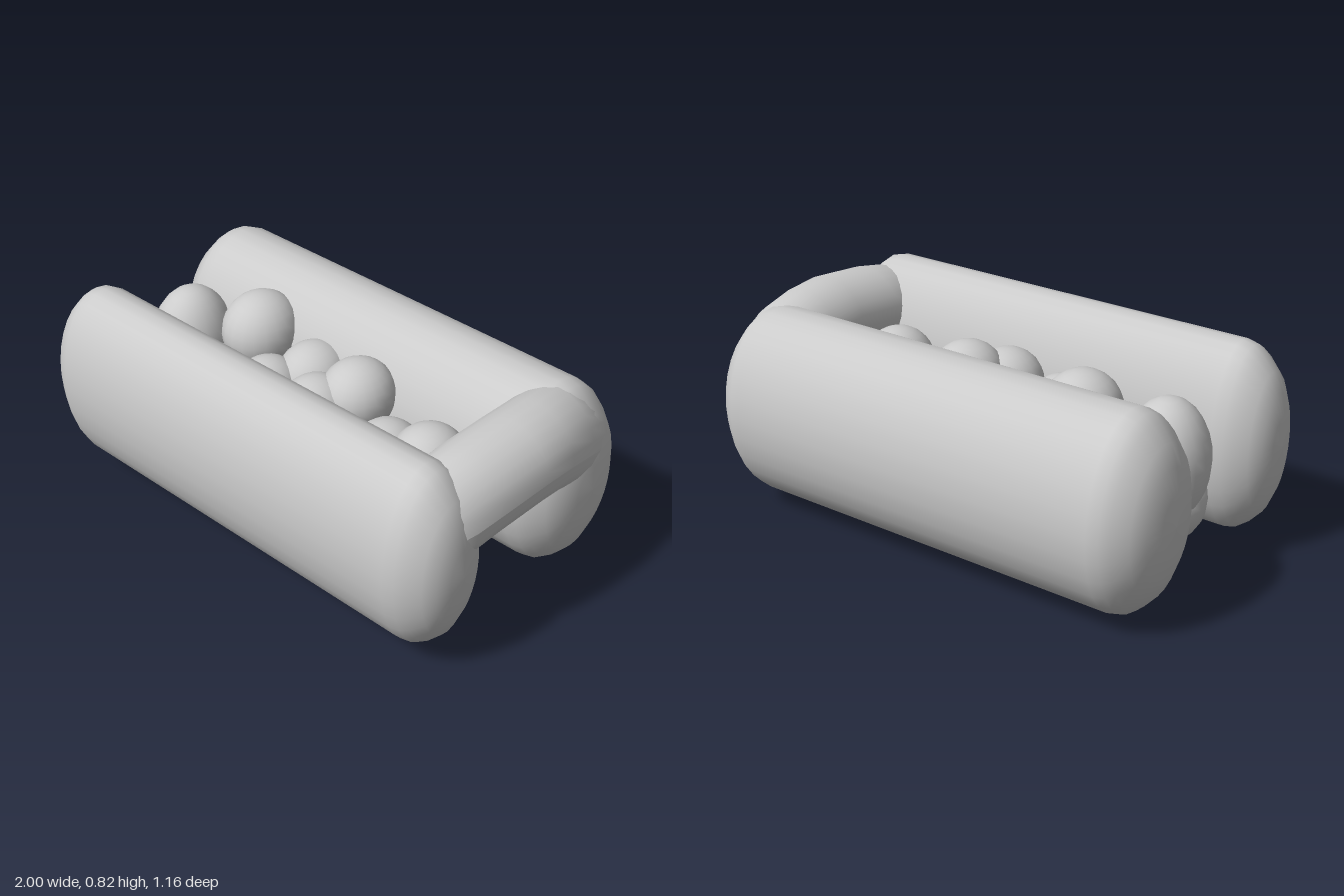
import * as THREE from 'three';

const material = new THREE.MeshStandardMaterial({ color: 0xcccccc });

function add(parent, name, geometry, position = [0, 0, 0], scale = [1, 1, 1]) {
  const mesh = new THREE.Mesh(geometry, material);
  mesh.name = name;
  mesh.position.set(...position);
  mesh.scale.set(...scale);
  parent.add(mesh);
  return mesh;
}

// Long oval log along x with softly rounded ends
function logGeometry(x0, x1) {
  const end = [[0, 0], [0.3, 0.008], [0.55, 0.028], [0.75, 0.06], [0.9, 0.11], [0.97, 0.145], [1, 0.19]];
  const points = [
    ...end.map(([r, d]) => new THREE.Vector2(r, x0 + d)),
    ...end.slice().reverse().map(([r, d]) => new THREE.Vector2(r, x1 - d)),
  ];
  return new THREE.LatheGeometry(points, 28).rotateZ(-Math.PI / 2);
}

// Arched bar across one end: oval rings swept along z, [z, x, y, halfWidth, halfHeight]
function bridgeGeometry() {
  const rings = [
    [0.46, 0.79, 0.55, 0.02, 0.02], [0.42, 0.79, 0.57, 0.13, 0.17], [0.32, 0.795, 0.6, 0.165, 0.185],
    [0.2, 0.81, 0.63, 0.175, 0.175], [0, 0.825, 0.645, 0.175, 0.175], [-0.15, 0.82, 0.63, 0.175, 0.18],
    [-0.3, 0.8, 0.59, 0.175, 0.2], [-0.44, 0.78, 0.53, 0.16, 0.2], [-0.52, 0.77, 0.48, 0.02, 0.02],
  ];
  const n = 24, positions = [], index = [];
  rings.forEach(([z, x, y, w, h], i) => {
    for (let j = 0; j <= n; j++) {
      const a = (j / n) * Math.PI * 2;
      positions.push(x + w * Math.cos(a), y + h * Math.sin(a), z);
      if (i && j < n) {
        const c = i * (n + 1) + j, p = c - n - 1;
        index.push(p, c, p + 1, p + 1, c, c + 1);
      }
    }
  });
  const geometry = new THREE.BufferGeometry();
  geometry.setAttribute('position', new THREE.Float32BufferAttribute(positions, 3));
  geometry.setIndex(index);
  // Outward winding for rings running towards -z
  for (let k = 0; k < index.length; k += 3) {
    const t = geometry.index.getX(k + 1);
    geometry.index.setX(k + 1, geometry.index.getX(k + 2));
    geometry.index.setX(k + 2, t);
  }
  geometry.computeVertexNormals();
  const normal = geometry.attributes.normal;
  const mid = 4 * (n + 1);
  if (normal.getX(mid) < 0) {
    geometry.setIndex(index);
    geometry.computeVertexNormals();
  }
  return geometry;
}

export function createModel() {
  const model = new THREE.Group();
  model.name = 'blobCluster';

  add(model, 'frontLog', logGeometry(-1, 0.96), [0, 0.448, 0.38], [1, 0.372, 0.198]);
  add(model, 'backLog', logGeometry(-0.98, 0.975), [0, 0.418, -0.32], [1, 0.378, 0.26]);
  add(model, 'bridge', bridgeGeometry());

  // Web of material filling the gap between the logs
  const core = new THREE.CapsuleGeometry(0.15, 1.08, 8, 20).rotateZ(Math.PI / 2);
  add(model, 'core', core, [-0.06, 0.36, 0.06], [1, 1, 1.25]);

  // Clustered balls: [x, y, z, radius, vertical stretch]
  const ball = new THREE.SphereGeometry(1, 20, 14);
  const balls = new THREE.Group();
  balls.name = 'balls';
  model.add(balls);
  [
    [-0.73, 0.46, 0.02, 0.16, 1.5], [-0.43, 0.6, -0.07, 0.15, 1.05], [-0.14, 0.52, -0.06, 0.14, 1],
    [-0.23, 0.5, 0.1, 0.13, 1], [0.03, 0.53, 0.11, 0.14, 1], [0.12, 0.58, -0.02, 0.14, 1],
    [0.32, 0.44, 0.05, 0.14, 1], [0.52, 0.52, 0.05, 0.14, 1],
    [-0.7, 0.28, 0.06, 0.16, 1], [-0.47, 0.18, 0.08, 0.17, 1], [-0.15, 0.175, 0.08, 0.175, 1],
    [0.06, 0.26, 0.06, 0.14, 1], [0.28, 0.19, 0.04, 0.15, 1], [0.5, 0.3, 0.05, 0.14, 1],
  ].forEach(([x, y, z, r, s]) => add(balls, 'ball', ball, [x, y, z], [r, r * s, r * 1.08]));

  return model;
}
